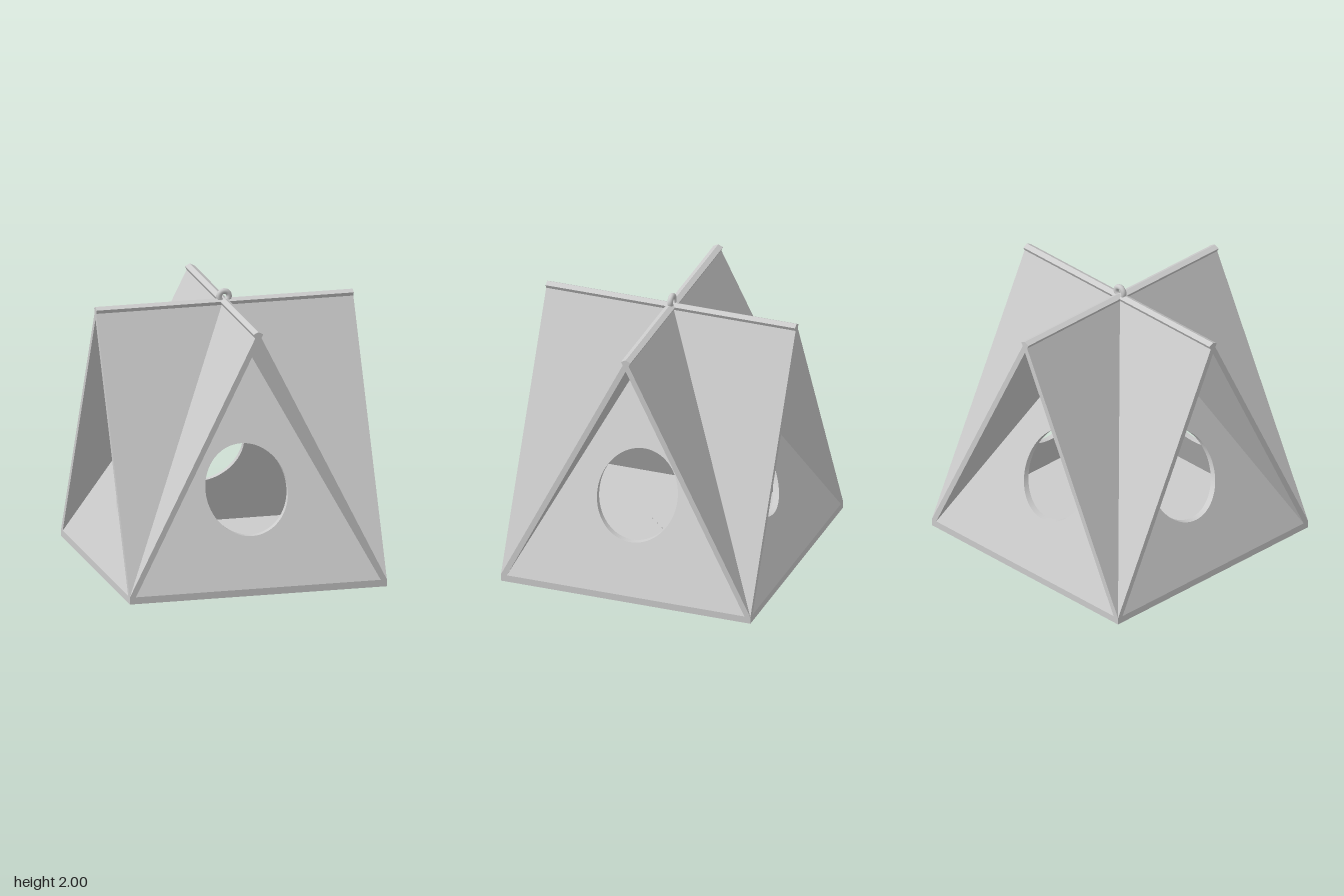
import * as THREE from 'three';

const HALF = 0.94;      // half width of the square plan
const BASE = 0.05;      // floor thickness
const RIDGE = 1.93;     // height of both ridges
const DEPTH = 0.0447;   // horizontal thickness of a leaning panel
const CUT = 0.018;      // drop of the inner edge, so panel ends are square cut

const material = new THREE.MeshStandardMaterial({ color: 0xcccccc, flatShading: true });
const smooth = new THREE.MeshStandardMaterial({ color: 0xcccccc });

function rectangle(x0, y0, x1, y1) {
  return new THREE.Shape([
    new THREE.Vector2(x0, y0), new THREE.Vector2(x1, y0),
    new THREE.Vector2(x1, y1), new THREE.Vector2(x0, y1),
  ]);
}

function addHole(shape, x, y, r) {
  shape.holes.push(new THREE.Path().absarc(x, y, r, 0, Math.PI * 2, true));
}

// Leaning roof panel with a horizontally bored round entrance
function panelGeometry(holeX) {
  const shape = rectangle(-HALF, BASE, HALF, RIDGE);
  addHole(shape, holeX, 0.69, 0.3);
  const geo = new THREE.ExtrudeGeometry(shape, { depth: DEPTH, bevelEnabled: false, curveSegments: 64 });
  const p = geo.attributes.position;
  for (let i = 0; i < p.count; i++) {
    let y = p.getY(i);
    const inward = DEPTH - p.getZ(i);
    const atEnd = y > RIDGE - 0.001 || y < BASE + 0.001;
    if (atEnd) y -= CUT * inward / DEPTH;
    p.setY(i, y);
    p.setZ(i, (RIDGE - y) / 2 - inward);
  }
  geo.computeVertexNormals();
  return geo;
}

export function createModel() {
  const model = new THREE.Group();
  const add = (name, geo, mat = material) => {
    const mesh = new THREE.Mesh(geo, mat);
    mesh.name = name;
    model.add(mesh);
    return mesh;
  };

  // Four panels form two crossing tents
  const panels = [['frontPanel', 0], ['rightPanel', -0.03], ['backPanel', 0], ['leftPanel', 0]];
  panels.forEach(([name, holeX], i) => {
    add(name, panelGeometry(holeX)).rotation.y = i * Math.PI / 2;
  });

  // Square floor with drain holes along both diagonals
  const floor = rectangle(-HALF, -HALF, HALF, HALF);
  for (let k = -4; k <= 4; k++) {
    addHole(floor, k * 0.058, k * 0.058, 0.006);
    if (k !== 0) addHole(floor, k * 0.058, -k * 0.058, 0.006);
  }
  const floorGeo = new THREE.ExtrudeGeometry(floor, { depth: BASE, bevelEnabled: false, curveSegments: 8 });
  floorGeo.rotateX(-Math.PI / 2);
  add('floor', floorGeo);

  // Hanging ring on the crossing of the ridges
  add('hangingRing', new THREE.TorusGeometry(0.037, 0.02, 16, 40), smooth).position.y = 1.943;

  return model;
}
